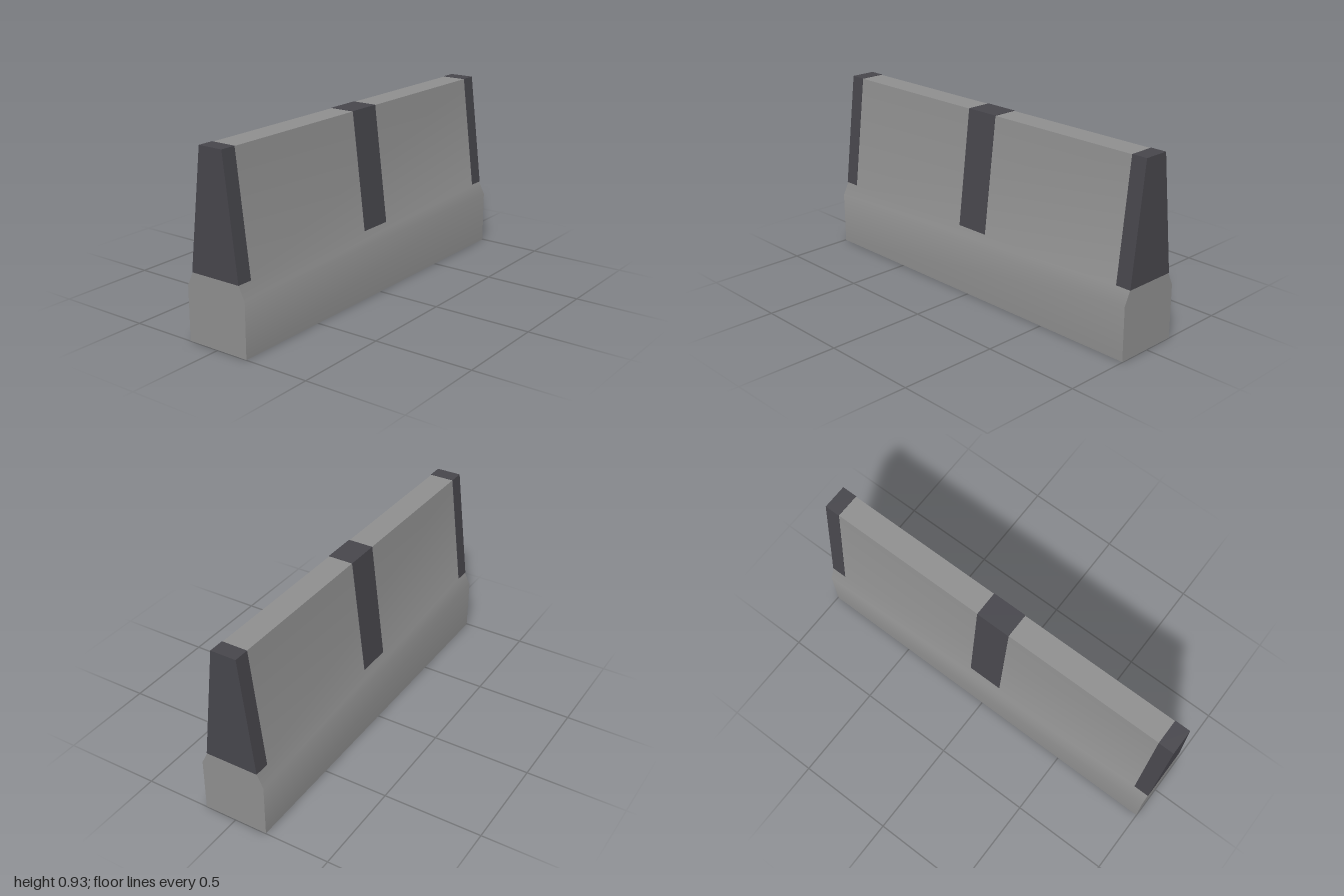
import * as THREE from 'three';
import { toCreasedNormals } from 'three/addons/utils/BufferGeometryUtils.js';

const concrete = new THREE.MeshStandardMaterial({ color: 0x8f8f8f });
concrete.name = 'concrete grey';
const band = new THREE.MeshStandardMaterial({ color: 0x47464c });
band.name = 'dark band grey';

// Mirrors a right-hand profile (bottom to top) and extrudes it from z0 to z1
function prism(name, half, z0, z1, material) {
  const left = half.map(([x, y]) => [-x, y]).reverse();
  const shape = new THREE.Shape([...half, ...left].map(([x, y]) => new THREE.Vector2(x, y)));
  let geometry = new THREE.ExtrudeGeometry(shape, { depth: z1 - z0, bevelEnabled: false });
  geometry.translate(0, 0, z0);
  geometry = toCreasedNormals(geometry, 0.6); // soft flanks, sharp ends and top
  geometry.clearGroups();
  const mesh = new THREE.Mesh(geometry, material);
  mesh.name = name;
  return mesh;
}

export function createModel() {
  const group = new THREE.Group();
  group.name = 'roadBarrier';

  // Concrete body: upright foot, sloped shoulder, tapering wall
  const body = [[0.168, 0], [0.168, 0.27], [0.135, 0.337], [0.063, 0.923]];
  group.add(prism('barrierBody', body, -0.998, 0.998, concrete));

  // Painted bands wrapping the wall at both ends and the middle
  const wrap = [[0.137, 0.337], [0.065, 0.925]];
  group.add(prism('frontBand', wrap, 0.92, 1, band));
  group.add(prism('middleBand', wrap, -0.09, 0.09, band));
  group.add(prism('backBand', wrap, -1, -0.92, band));
  return group;
}
